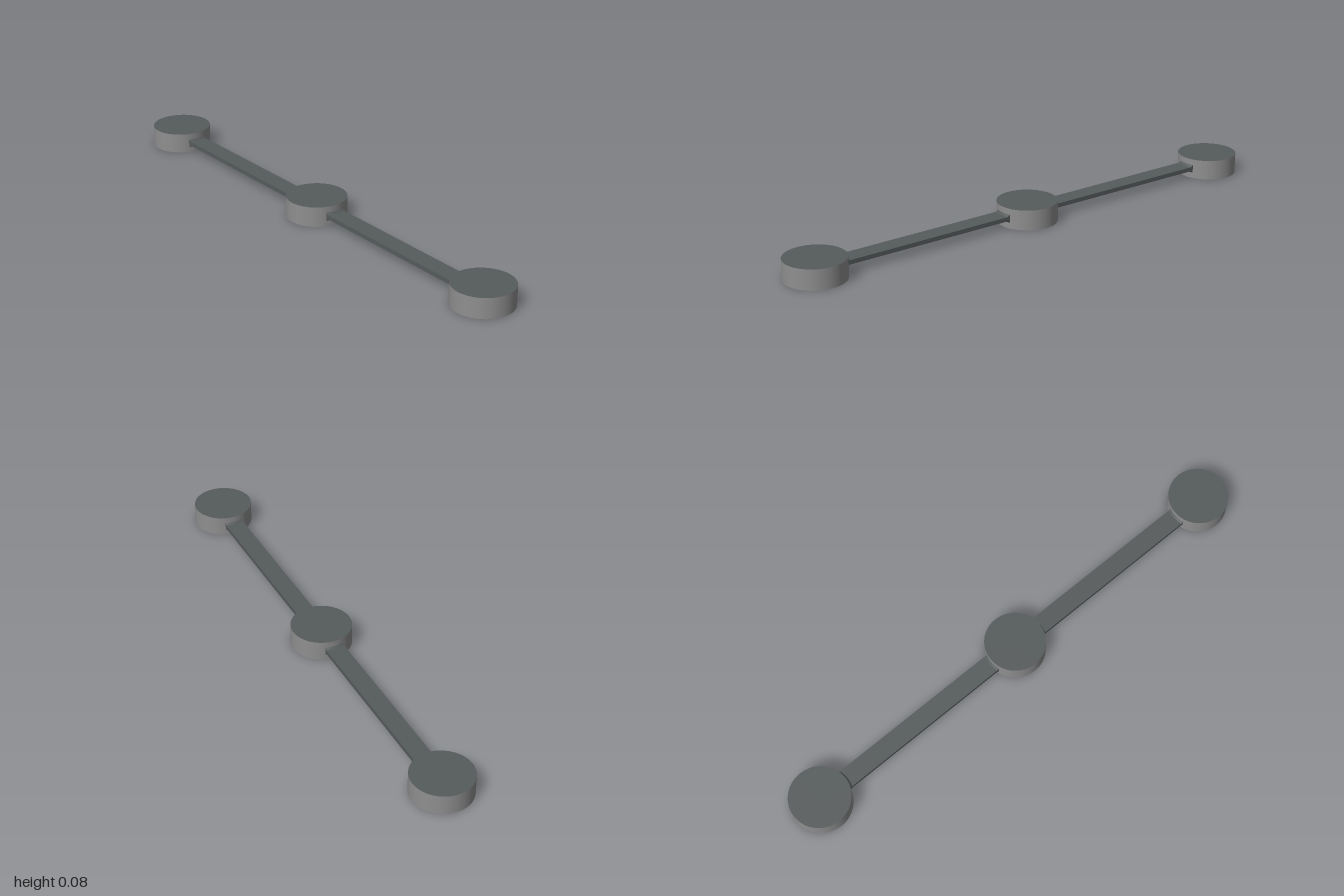
import * as THREE from 'three';

const R = 0.111, H = 0.075, SPACING = 0.889, HALF_WIDTH = 0.035;

export function createModel() {
  const group = new THREE.Group();
  const darkGrey = new THREE.MeshStandardMaterial({ color: 0x565b5b });
  darkGrey.name = 'dark grey';
  const lightGrey = new THREE.MeshStandardMaterial({ color: 0x8f8f8f });
  lightGrey.name = 'light grey';

  // Three round pads with a lighter rim
  const padGeometry = new THREE.CylinderGeometry(R, R, H, 64);
  ['rightPad', 'centrePad', 'leftPad'].forEach((name, i) => {
    const pad = new THREE.Mesh(padGeometry, [lightGrey, darkGrey, darkGrey]);
    pad.name = name;
    pad.position.set((i - 1) * SPACING, H / 2, 0);
    group.add(pad);
  });

  // Flat link whose ends flare slightly and wrap around the pads
  const t = 0.008, flare = 0.008;
  const start = R - 0.001, end = SPACING - start;
  const profile = new THREE.Shape([
    [start, -t - flare], [R + flare, -t], [end - flare, -t], [end, -t - flare],
    [end, t + flare], [end - flare, t], [R + flare, t], [start, t + flare],
  ].map(([x, y]) => new THREE.Vector2(x, y)));
  const linkGeometry = new THREE.ExtrudeGeometry(profile, {
    depth: 2 * HALF_WIDTH, steps: 8, bevelEnabled: false,
  });
  linkGeometry.translate(0, H / 2, -HALF_WIDTH);
  const p = linkGeometry.attributes.position;
  for (let i = 0; i < p.count; i++) {
    const x = p.getX(i), z = p.getZ(i);
    const near = x < SPACING / 2;
    const r = near ? x : SPACING - x;
    const bent = Math.sqrt(r * r - z * z);
    p.setX(i, near ? bent : SPACING - bent);
  }
  linkGeometry.computeVertexNormals();

  for (const [name, offset] of [['leftLink', 0], ['rightLink', -SPACING]]) {
    const link = new THREE.Mesh(linkGeometry, darkGrey);
    link.name = name;
    link.position.x = offset;
    group.add(link);
  }
  return group;
}
